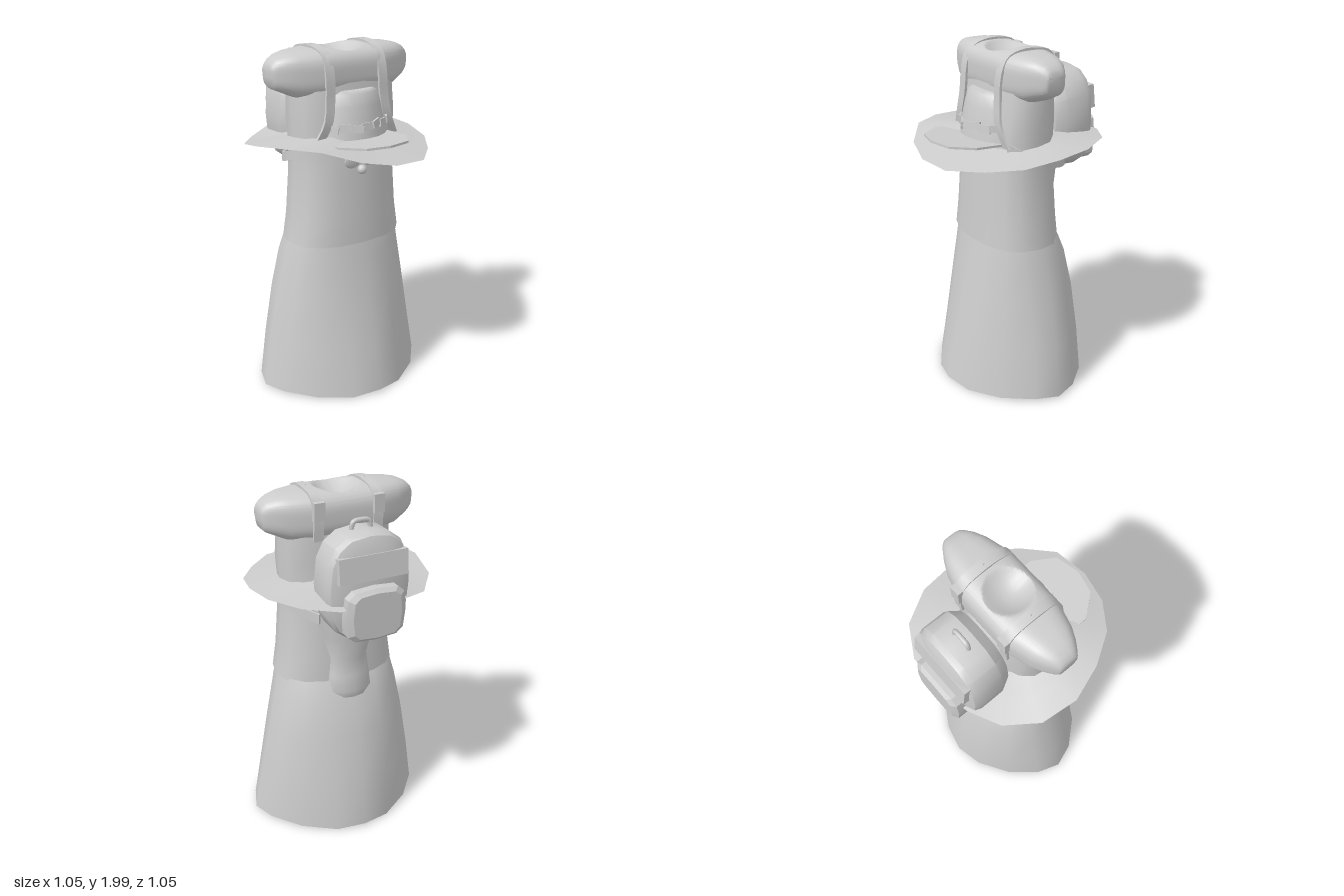
import * as THREE from 'three';
import { toCreasedNormals } from 'three/addons/utils/BufferGeometryUtils.js';

const V = (x, y, z) => new THREE.Vector3(x, y, z);

// Rings of equal length joined into a skin, with optional caps at either end.
function loft(rings, { capStart = false, capEnd = false, crease = 0.6 } = {}) {
  const n = rings[0].length, pos = [], idx = [];
  rings.forEach(r => r.forEach(p => pos.push(p.x, p.y, p.z)));
  for (let i = 0; i < rings.length - 1; i++)
    for (let j = 0; j < n; j++) {
      const a = i * n + j, b = i * n + (j + 1) % n;
      idx.push(a, a + n, b, b, a + n, b + n);
    }
  const cap = (i, start) => {
    const c = rings[i].reduce((s, p) => s.add(p), V(0, 0, 0)).divideScalar(n), k = pos.length / 3;
    pos.push(c.x, c.y, c.z);
    for (let j = 0; j < n; j++) {
      const a = i * n + j, b = i * n + (j + 1) % n;
      if (start) idx.push(k, a, b); else idx.push(k, b, a);
    }
  };
  if (capStart) cap(0, true);
  if (capEnd) cap(rings.length - 1, false);
  const g = new THREE.BufferGeometry();
  g.setAttribute('position', new THREE.Float32BufferAttribute(pos, 3));
  g.setIndex(idx);
  return toCreasedNormals(g, crease);
}

// Rounded outline: exponent 2 is an ellipse, larger is boxier, smaller is more like a diamond.
function outline(n, e, place) {
  return Array.from({ length: n }, (_, j) => {
    const a = (j / n) * Math.PI * 2, c = Math.cos(a), s = Math.sin(a);
    return place(Math.sign(c) * Math.abs(c) ** (2 / e), Math.sign(s) * Math.abs(s) ** (2 / e));
  });
}

// Level ring around the y axis.
const level = (y, hx, hz, cz = 0, e = 2.4) => outline(16, e, (c, s) => V(c * hx, y, cz + s * hz));

// Upright ring facing the back, used for the pack.
const upright = (z, hx, hy, cy, n, e) => outline(n, e, (c, s) => V(-0.01 + c * hx, cy + s * hy, z));

// Flat strap swept through points, its width along a fixed direction.
function strap(points, across, width, thick) {
  const curve = new THREE.CatmullRomCurve3(points);
  const rings = Array.from({ length: 25 }, (_, i) => {
    const p = curve.getPoint(i / 24), t = curve.getTangent(i / 24);
    const nrm = t.clone().cross(across).normalize();
    return [[1, 1], [-1, 1], [-1, -1], [1, -1]].map(([u, v]) =>
      p.clone().addScaledVector(across, u * width / 2).addScaledVector(nrm, v * thick / 2));
  });
  return loft(rings, { capStart: true, capEnd: true });
}

export function createModel() {
  const model = new THREE.Group();
  const grey = new THREE.MeshStandardMaterial({ color: 0xcccccc, side: THREE.DoubleSide });
  grey.name = 'light grey';
  const add = (name, geometry, x = 0, y = 0, z = 0) => {
    const m = new THREE.Mesh(geometry, grey);
    m.name = name;
    m.position.set(x, y, z);
    model.add(m);
    return m;
  };

  // Flared skirt, hollow, with a wavy hem
  const hem = (hx, hz) => level(0.02, hx, hz, -0.025, 1.65)
    .map(p => V(p.x, 0.018 + 0.01 * Math.cos(p.x * 14), p.z));
  add('skirt', loft([
    level(0.88, 0.32, 0.22, -0.02), level(0.4, 0.42, 0.35, -0.03, 1.9), hem(0.49, 0.405),
    hem(0.522, 0.437), level(0.3, 0.475, 0.39, -0.035, 1.75), level(0.6, 0.415, 0.325, -0.035, 2),
    level(0.82, 0.366, 0.27, -0.025, 2.25), level(0.92, 0.342, 0.235, -0.01),
  ], { crease: 0.9 }));
  // Rounded form hanging inside the skirt
  add('innerForm', loft([level(0.17, 0.05, 0.05), level(0.2, 0.1, 0.1), level(0.28, 0.13, 0.13),
    level(0.5, 0.14, 0.14), level(0.9, 0.2, 0.17)], { capStart: true, crease: 1 }));

  // Jacket body
  add('jacket', loft([
    level(0.905, 0.352, 0.238), level(1.05, 0.33, 0.228), level(1.3, 0.313, 0.212),
    level(1.45, 0.31, 0.2), level(1.6, 0.318, 0.183, -0.005, 2.8), level(1.8, 0.312, 0.165, -0.015, 2.8),
  ], { crease: 1 }));

  // Shoulders and short sleeves, with a shallow bowl pressed in for the neck
  const half = [[0.44, 1.875, 0.03, 0.05], [0.432, 1.86, 0.062, 0.06], [0.41, 1.86, 0.082, 0.077],
    [0.37, 1.86, 0.1, 0.103], [0.31, 1.853, 0.12, 0.132], [0.18, 1.85, 0.132, 0.168]];
  const stations = half.map(([x, ...r]) => [-x, ...r]);
  for (let i = -16; i <= 16; i++) stations.push([i * 0.01, 1.85, 0.132, 0.172]);
  stations.push(...half.slice().reverse());
  const shoulders = stations.map(([x, cy, hy, hz]) => outline(96, 3.1, (c, s) => {
    const p = V(x - 0.01, cy + c * hy, -0.022 - s * hz);
    const d = Math.hypot(p.x + 0.01, p.z + 0.022) / 0.127;
    if (c > 0 && d < 1) p.y -= 0.06 * (1 - d * d);
    return p;
  }));
  add('shouldersAndSleeves', loft(shoulders, { capStart: true, capEnd: true, crease: 0.7 }));

  // Wavy brim round the chest: x, z and height of each rim corner
  const rim = [[-0.01, 0.525, 1.43], [-0.2, 0.475, 1.465], [-0.36, 0.355, 1.515], [-0.465, 0.185, 1.51],
    [-0.53, -0.01, 1.49], [-0.5, -0.215, 1.45], [-0.37, -0.38, 1.43], [-0.2, -0.47, 1.46],
    [0, -0.5, 1.475], [0.19, -0.5, 1.475], [0.36, -0.4, 1.485], [0.465, -0.215, 1.48],
    [0.49, -0.01, 1.465], [0.455, 0.185, 1.44], [0.34, 0.355, 1.425], [0.19, 0.5, 1.42]];
  const brimRing = (k, lift) => rim.map(([x, z, y]) => V(x * k, y * k + lift * (1 - k), z * k));
  add('brim', loft([brimRing(1, 1.52), brimRing(0.72, 1.53), brimRing(0.4, 1.54)], { crease: 0.8 }));

  // Crown rising through the chest front
  add('crown', new THREE.LatheGeometry([[0.26, 1.48], [0.245, 1.58], [0.225, 1.68], [0.205, 1.745],
    [0.18, 1.762], [0, 1.765]].map(([x, y]) => new THREE.Vector2(x, y)), 20));

  // Visor plate on the front of the brim, lifting towards its tip
  const visor = new THREE.Shape([[-0.235, 0.15], [-0.235, 0.32], [-0.14, 0.44], [-0.01, 0.47],
    [0.13, 0.44], [0.21, 0.32], [0.21, 0.15]].map(([x, z]) => new THREE.Vector2(x, z)));
  add('visor', new THREE.ExtrudeGeometry(visor, { depth: 0.012, bevelEnabled: false })
    .rotateX(Math.PI / 2), 0, 1.495, 0).rotation.x = -0.06;

  // Leafy band round the crown
  for (let i = -3; i <= 3; i++) {
    const a = i * 0.26;
    const leaf = add('bandLeaf', new THREE.BoxGeometry(0.075, 0.04, 0.012),
      0.252 * Math.sin(a), 1.578 + (i % 2) * 0.008, 0.252 * Math.cos(a));
    leaf.rotation.set(-0.15, a + (i % 2) * 0.2, (i % 2) * 0.2);
  }

  for (const s of [-1, 1]) {
    // Pack straps hugging the shoulder and running back under the arm
    const X = x => s * x - 0.005;
    add('shoulderStrap', strap([V(X(0.172), 1.74, -0.19), V(X(0.172), 1.88, -0.192), V(X(0.172), 1.96, -0.155),
      V(X(0.172), 1.984, -0.07), V(X(0.172), 1.984, 0.03), V(X(0.17), 1.955, 0.108), V(X(0.17), 1.87, 0.15),
      V(X(0.175), 1.72, 0.163), V(X(0.195), 1.6, 0.172), V(X(0.25), 1.49, 0.155)], V(1, 0, 0), 0.055, 0.014));
    add('strapLoop', new THREE.BoxGeometry(0.06, 0.1, 0.03), X(0.172), 1.9, -0.197);
    add('strapPeak', new THREE.ConeGeometry(0.035, 0.03, 4), X(0.172), 1.986, -0.03);
    add('lowerStrap', strap([V(X(0.25), 1.49, 0.155), V(X(0.308), 1.44, 0.07), V(X(0.322), 1.4, -0.03),
      V(X(0.28), 1.36, -0.16), V(X(0.2), 1.33, -0.26)], V(0, 1, 0), 0.055, 0.014));
    // Bow loops under the brim
    const loop = add('bowLoop', new THREE.SphereGeometry(0.055, 12, 8), X(0.056), 1.385, 0.203);
    loop.scale.set(1, 0.8, 0.2);
  }
  add('bowBead', new THREE.SphereGeometry(0.027, 12, 8), -0.01, 1.33, 0.22);

  // Backpack
  add('pack', loft([upright(-0.46, 0.17, 0.225, 1.545, 16, 2.7), upright(-0.435, 0.225, 0.28, 1.545, 16, 2.7),
    upright(-0.4, 0.238, 0.295, 1.545, 16, 2.7), upright(-0.26, 0.238, 0.29, 1.545, 16, 2.7),
    upright(-0.2, 0.205, 0.24, 1.545, 16, 2.7)], { capStart: true, capEnd: true }));
  add('packPocket', loft([upright(-0.526, 0.14, 0.125, 1.425, 12, 4), upright(-0.505, 0.172, 0.145, 1.425, 12, 4),
    upright(-0.43, 0.172, 0.145, 1.425, 12, 4)], { capStart: true, crease: 0.4 }));
  add('packFlap', new THREE.BoxGeometry(0.39, 0.135, 0.04), -0.01, 1.67, -0.455).rotation.x = 0.12;
  add('packHandle', new THREE.TubeGeometry(new THREE.CatmullRomCurve3([V(-0.065, 1.82, -0.32),
    V(-0.055, 1.865, -0.32), V(-0.01, 1.873, -0.32), V(0.035, 1.865, -0.32), V(0.045, 1.82, -0.32)]),
    16, 0.013, 6));

  // Soft hanging form below the pack
  add('backTail', loft([level(0.74, 0.05, 0.04, -0.2), level(0.79, 0.11, 0.11, -0.18), level(0.86, 0.155, 0.165, -0.14),
    level(0.95, 0.145, 0.155, -0.13), level(1.05, 0.13, 0.147, -0.13), level(1.18, 0.16, 0.165, -0.13),
    level(1.35, 0.2, 0.16, -0.13)], { capStart: true, capEnd: true, crease: 1 }));

  return model;
}
